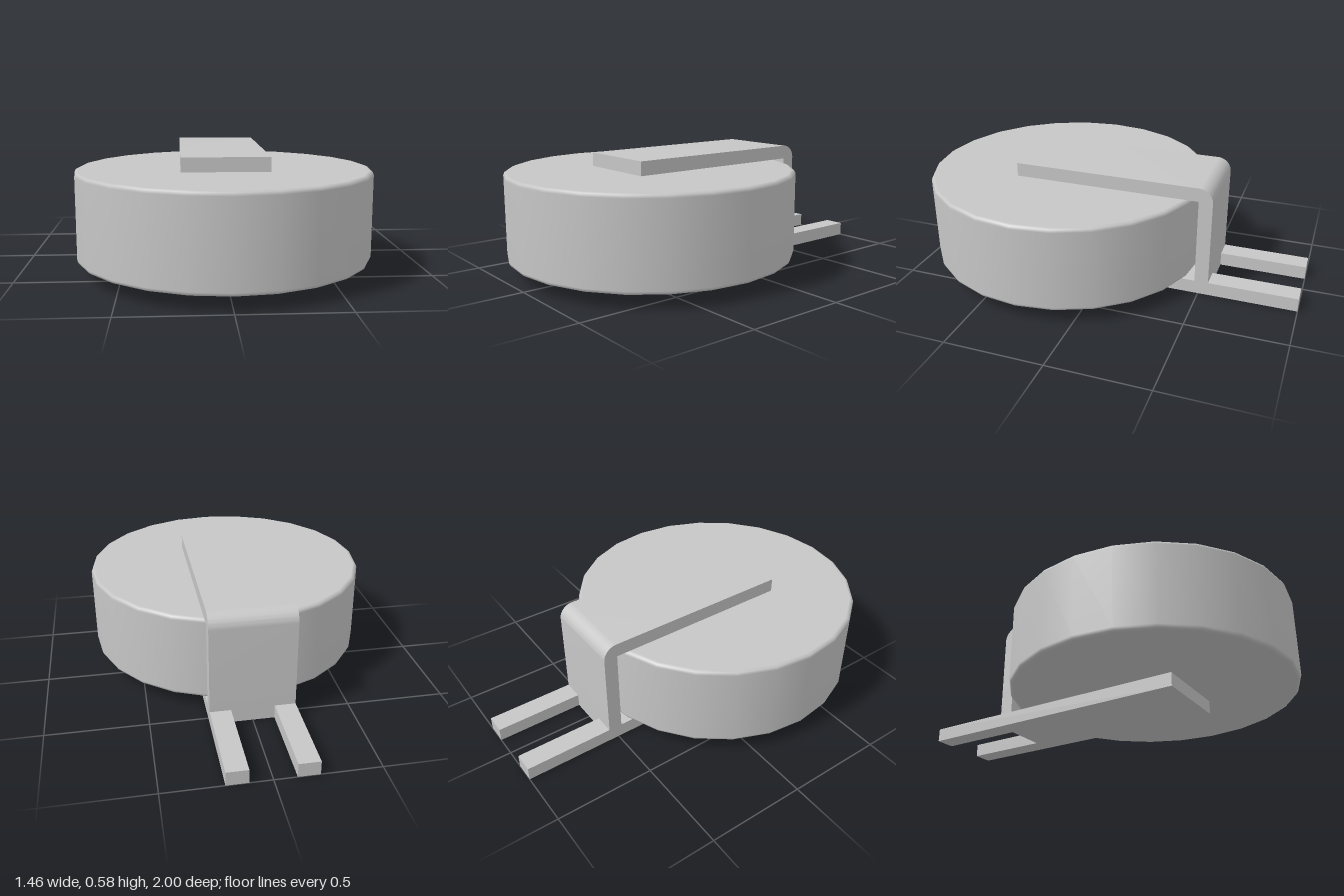
import * as THREE from 'three';
import { toCreasedNormals } from 'three/addons/utils/BufferGeometryUtils.js';

const WIDTH = 0.425;      // width of the clip
const THICK = 0.07;       // sheet thickness

export function createModel() {
  const model = new THREE.Group();
  model.name = 'clippedDisc';
  const grey = new THREE.MeshStandardMaterial({ color: 0xc6c6c6 });
  grey.name = 'light grey';

  const add = (name, geometry) => {
    const mesh = new THREE.Mesh(geometry, grey);
    mesh.name = name;
    model.add(mesh);
    return mesh;
  };

  // Disc with softly rounded rims, 24 sides
  const r = 0.73, b = 0.02, y0 = 0.071, y1 = 0.51;
  const profile = [
    [0, y0], [r - b, y0], [r - b * 0.3, y0 + b * 0.3], [r, y0 + b],
    [r, y1 - b], [r - b * 0.3, y1 - b * 0.3], [r - b, y1], [0, y1],
  ].map(([x, y]) => new THREE.Vector2(x, y));
  add('disc', new THREE.LatheGeometry(profile, 24)).position.z = 0.27;

  // Upper strap: over the disc, rounded bend, down behind it (shape x is z)
  const strap = new THREE.Shape();
  const top = 0.582, back = -0.55, bend = 0.07;
  strap.moveTo(0.48, top - THICK);
  strap.lineTo(0.48, top);
  strap.lineTo(back + bend, top);
  strap.absarc(back + bend, top - bend, bend, Math.PI / 2, Math.PI, false);
  strap.lineTo(back, THICK);
  strap.lineTo(back + THICK, THICK);
  strap.lineTo(back + THICK, top - THICK);
  strap.closePath();
  const strapGeometry = new THREE.ExtrudeGeometry(strap, {
    depth: WIDTH, bevelEnabled: false, curveSegments: 8,
  });
  strapGeometry.translate(0, 0, -WIDTH / 2).rotateY(-Math.PI / 2);
  add('upperStrap', toCreasedNormals(strapGeometry, 0.5));

  // Base plate with two prongs at the back (shape y is -z)
  const h = WIDTH / 2, slot = 0.108;
  const plate = new THREE.Shape([
    [-h, -0.48], [h, -0.48], [h, 1], [slot, 1],
    [slot, 0.55], [-slot, 0.55], [-slot, 1], [-h, 1],
  ].map(([x, y]) => new THREE.Vector2(x, y)));
  const plateGeometry = new THREE.ExtrudeGeometry(plate, { depth: THICK, bevelEnabled: false });
  add('prongedBasePlate', plateGeometry.rotateX(-Math.PI / 2));

  return model;
}
